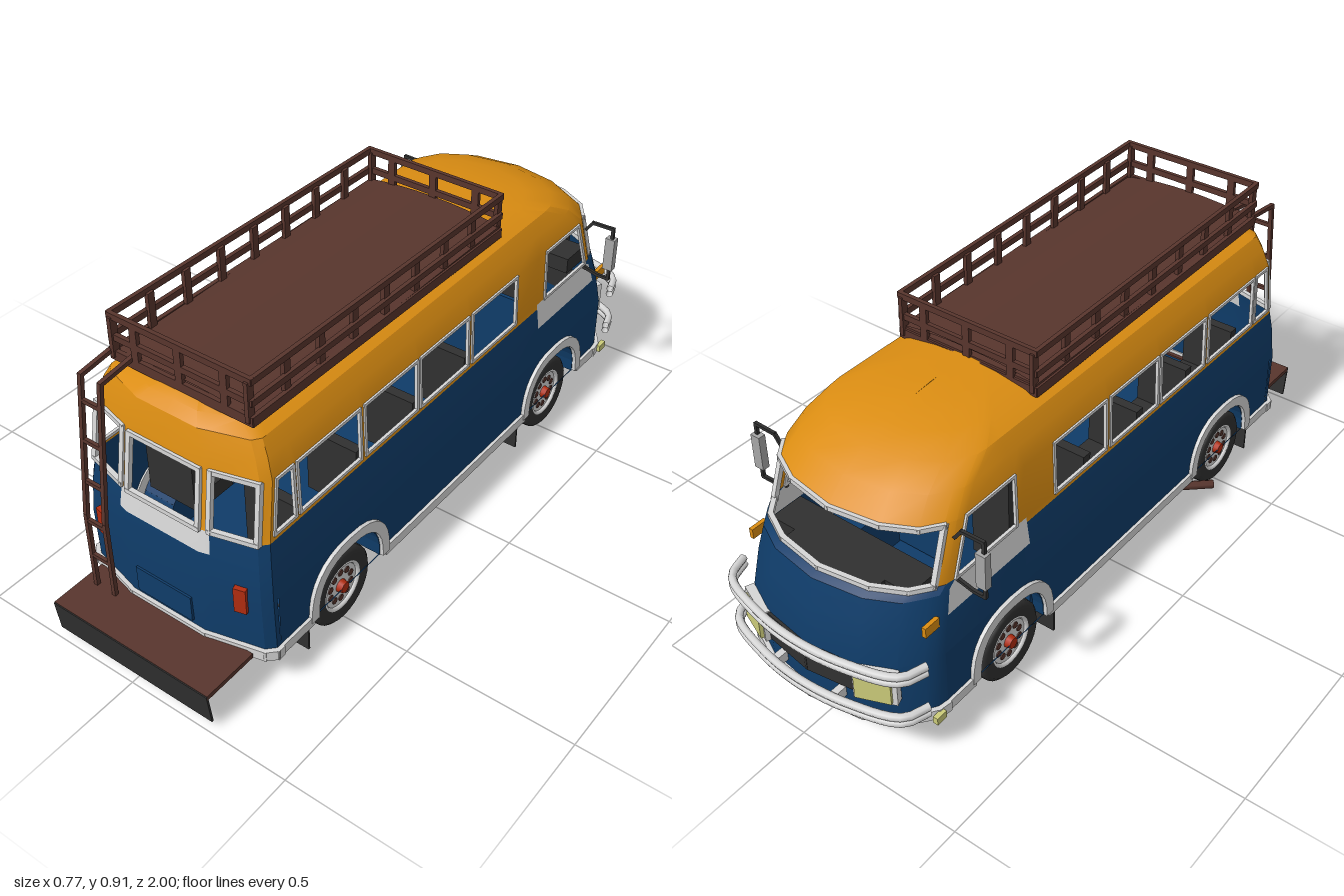
import * as THREE from 'three';
import { mergeGeometries, toCreasedNormals } from 'three/addons/utils/BufferGeometryUtils.js';

const mat = (name, color, side = THREE.FrontSide) => {
  const m = new THREE.MeshStandardMaterial({ color, side });
  m.name = name;
  return m;
};
const V = (x, y, z) => new THREE.Vector3(x, y, z);

// Body sections by height: [y, half width, rear z, nose z]
const ROWS = [
  [0.12, 0.305, 0.845, -0.955], [0.30, 0.305, 0.85, -0.955], [0.405, 0.297, 0.842, -0.93],
  [0.47, 0.288, 0.832, -0.91], [0.485, 0.286, 0.828, -0.885], [0.645, 0.281, 0.805, -0.83],
  [0.70, 0.262, 0.795, -0.775], [0.74, 0.24, 0.785, -0.70], [0.765, 0.19, 0.76, -0.62],
  [0.78, 0.1, 0.71, -0.52], [0.786, 0, 0.66, -0.45],
];
// Columns from rear centre to nose centre: [width share, reference, z or offset]
const COLS = [
  [0, 'r', 0], [0.4, 'r', 0], [0.5, 'r', 0.008], [0.93, 'r', 0.04], [1, 'r', 0.062], [1, 'r', 0.076],
  ...[0.67, 0.655, 0.41, 0.39, 0.165, 0.15, -0.075, -0.095, -0.32, -0.44, -0.48].map(z => [1, 's', z]),
  [1, 'f', 0.17], [0.985, 'f', 0.14], [0.93, 'f', 0.115], [0.8, 'f', 0.065], [0.5, 'f', 0.022], [0, 'f', 0],
];
const DOOR = 16, PILLAR = 17, SCREEN = 19, LAST = COLS.length - 1;

function bodyPoint(col, y, s = 1, out = 0) {
  let k = 0;
  while (k < ROWS.length - 2 && y > ROWS[k + 1][0]) k++;
  const a = ROWS[k], b = ROWS[k + 1], t = (y - a[0]) / (b[0] - a[0]);
  const [w, zr, zf] = [1, 2, 3].map(i => a[i] + (b[i] - a[i]) * t);
  const [u, ref, v] = COLS[col];
  const z = ref === 'r' ? zr + out - v : ref === 'f' ? zf - out + v
    : Math.min(Math.max(v, zf + 0.175), zr - 0.078);
  return V(s * u * (w + out), y, z);
}

// Which colour a body cell has; null leaves an opening
function cellColour(r, c) {
  if (r === 0 && c >= 5 && c < PILLAR) return null;          // arched side panel goes here
  const rearGlass = c === 0 || c === 2;
  const sideGlass = (c >= 5 && c < 14 && c % 2 === 1) || c === DOOR;
  if (r === 4 && (rearGlass || sideGlass || c >= SCREEN)) return null;
  if (r === 3 && rearGlass) return null;
  if (r === 2 && c < 2) return 'white';
  if ((r === 2 || r === 3) && (c === 15 || c === DOOR)) return 'white';
  if (r < 3 || (r === 3 && c >= PILLAR)) return 'blue';
  return 'orange';
}

function bodyShell(colour) {
  const p = [];
  for (const s of [1, -1]) for (let r = 0; r < ROWS.length - 1; r++) for (let c = 0; c < LAST; c++) {
    if (cellColour(r, c) !== colour) continue;
    const y0 = ROWS[r][0], y1 = ROWS[r + 1][0];
    const q = [bodyPoint(c, y0, s), bodyPoint(c + 1, y0, s), bodyPoint(c + 1, y1, s), bodyPoint(c, y1, s)];
    if (s < 0) q.reverse();
    for (const i of [0, 1, 2, 0, 2, 3]) p.push(...q[i].toArray());
  }
  const g = new THREE.BufferGeometry();
  g.setAttribute('position', new THREE.Float32BufferAttribute(p, 3));
  return toCreasedNormals(g, 0.5);
}

// Box-section bar between two points
function bar(a, b, w, h = w) {
  const d = b.clone().sub(a), len = d.length();
  const up = Math.abs(d.y / len) > 0.95 ? V(0, 0, 1) : V(0, 1, 0);
  const m = new THREE.Matrix4().lookAt(b, a, up).setPosition(a.clone().add(b).multiplyScalar(0.5));
  return new THREE.BoxGeometry(w, h, len + Math.min(w, h) * 0.7).applyMatrix4(m);
}
const path = (pts, w, h) => pts.slice(1).map((p, i) => bar(pts[i], p, w, h));
const box = (w, h, d, x, y, z) => new THREE.BoxGeometry(w, h, d).translate(x, y, z);

export function createModel() {
  const M = {
    blue: mat('body blue', 0x0f3c69, THREE.DoubleSide), orange: mat('roof orange', 0xdb8d12, THREE.DoubleSide),
    white: mat('trim white', 0xd6d6d6, THREE.DoubleSide), brown: mat('rack brown', 0x58352d),
    dark: mat('dark rubber', 0x303030), grey: mat('mirror grey', 0xa6a6a6),
    red: mat('lamp red', 0xb02c10), yellow: mat('headlamp yellow', 0xcccc7a),
  };
  const root = new THREE.Group();
  root.name = 'camperBus';
  const add = (name, m, ...geos) => {
    const list = geos.flat().map(g => (g.index ? g.toNonIndexed() : g));
    const mesh = new THREE.Mesh(list.length > 1 ? mergeGeometries(list) : list[0], m);
    mesh.name = name;
    root.add(mesh);
  };

  add('lowerBody', M.blue, bodyShell('blue'));
  add('upperBodyAndRoof', M.orange, bodyShell('orange'));
  add('paintedPatches', M.white, bodyShell('white'));

  // Wheel arches, side panels and skirt trim
  const AXLES = [0.49, -0.53];
  const arch = (c, a, h) => Array.from({ length: 17 }, (_, i) => {
    const t = i / 16 * Math.PI, co = Math.cos(t);
    return [c + a * Math.sign(co) * Math.abs(co) ** 0.8, 0.12 + h * Math.sin(t) ** 0.8];
  });
  const rearEnd = bodyPoint(5, 0.12).z, frontEnd = bodyPoint(PILLAR, 0.12).z;
  const panels = [], wells = [], trim = [];
  for (const s of [1, -1]) {
    const place = (pts, x, depth) => {
      const shape = new THREE.Shape(pts.map(([z, y]) => new THREE.Vector2(-s * z, y)));
      const g = depth ? new THREE.ExtrudeGeometry(shape, { depth, bevelEnabled: false }) : new THREE.ShapeGeometry(shape);
      return g.rotateY(s * Math.PI / 2).translate(s * x, 0, 0);
    };
    panels.push(place([[rearEnd, 0.3], [rearEnd, 0.12], ...AXLES.flatMap(c => arch(c, 0.14, 0.145)),
      [frontEnd, 0.12], [frontEnd, 0.3]], 0.305));
    for (const c of AXLES) {
      const inner = arch(c, 0.138, 0.145);
      trim.push(place([...arch(c, 0.168, 0.175), ...inner.slice().reverse()], 0.3, 0.016));
      wells.push(path(inner.map(([z, y]) => V(s * 0.25, y, z)), 0.11, 0.004), place(inner, 0.195, 0.004));
    }
    const runs = [[rearEnd, 0.65], [0.33, -0.37], [-0.69, frontEnd]];
    for (const [a, b] of runs) trim.push(bar(V(s * 0.306, 0.123, a), V(s * 0.306, 0.123, b), 0.016, 0.03));
    const ends = [[0, 1, 2, 3, 4, 5], [17, 18, 19, 20, 21, 22]];
    for (const e of ends) trim.push(path(e.map(c => bodyPoint(c, 0.123, s, 0.004)), 0.016, 0.03));
  }
  add('sidePanels', M.blue, panels);
  add('wheelWells', M.blue, wells.flat());
  add('skirtTrim', M.white, trim.flat());

  // Floor with wheel openings
  const ring = [1, -1].flatMap(s => {
    const h = COLS.map((_, c) => bodyPoint(c, 0.121, s));
    return s > 0 ? h : h.reverse();
  });
  const floor = new THREE.Shape(ring.map(p => new THREE.Vector2(p.x, -p.z)));
  for (const c of AXLES) for (const s of [1, -1]) {
    const hole = [[0.195, -0.138], [0.302, -0.138], [0.302, 0.138], [0.195, 0.138]];
    floor.holes.push(new THREE.Path(hole.map(([x, z]) => new THREE.Vector2(s * x, -(c + z)))));
  }
  add('floor', M.blue, new THREE.ShapeGeometry(floor).rotateX(-Math.PI / 2).translate(0, 0.121, 0));

  // Window frames
  const frames = [];
  for (const s of [1, -1]) {
    const loop = (c0, c1, y0, y1, w, open) => {
      const cs = Array.from({ length: c1 - c0 + 1 }, (_, i) => c0 + i);
      const pts = [...cs.map(c => bodyPoint(c, y0, s)), ...cs.reverse().map(c => bodyPoint(c, y1, s))];
      if (open === 'end') pts.push(...pts.splice(0, c1 - c0 + 1));
      if (!open) pts.push(pts[0]);
      frames.push(path(pts, w, w));
    };
    loop(0, 1, 0.472, 0.64, 0.014, 'start');
    loop(2, 3, 0.472, 0.64, 0.014);
    for (const c of [5, 7, 9, 11, 13, DOOR]) loop(c, c + 1, 0.487, 0.643, 0.009);
    loop(SCREEN, LAST, 0.488, 0.64, 0.014, 'end');
  }
  add('windowFrames', M.white, frames.flat());

  // Wheels
  const tyre = [[0.074, -0.036], [0.105, -0.04], [0.116, -0.03], [0.118, 0], [0.116, 0.03], [0.105, 0.04], [0.074, 0.036]];
  const spin = (g, s, x, c) => g.rotateZ(-s * Math.PI / 2).translate(s * x, 0.118, c);
  const tyres = [], rims = [], studs = [], hubs = [];
  for (const s of [1, -1]) for (const c of [0.505, -0.522]) {
    tyres.push(spin(new THREE.LatheGeometry(tyre.map(([r, h]) => new THREE.Vector2(r, h)), 28), s, 0.26, c));
    rims.push(spin(new THREE.CylinderGeometry(0.076, 0.076, 0.056, 24), s, 0.26, c));
    rims.push(spin(new THREE.TorusGeometry(0.072, 0.007, 6, 24).rotateX(Math.PI / 2), s, 0.29, c));
    hubs.push(spin(new THREE.CylinderGeometry(0.016, 0.02, 0.02, 12), s, 0.295, c));
    for (let i = 0; i < 10; i++) {
      const t = i / 10 * Math.PI * 2;
      studs.push(spin(new THREE.CylinderGeometry(0.01, 0.01, 0.006, 8)
        .translate(0.045 * Math.cos(t), 0, 0.045 * Math.sin(t)), s, 0.288, c));
    }
  }
  add('tyres', M.dark, tyres);
  add('rims', M.white, rims);
  add('rimHoles', M.brown, studs);
  add('hubCaps', M.red, hubs);

  // Nose: bumper tubes, grille, lamps
  const bumperCurve = y => new THREE.CatmullRomCurve3([[-0.312, -0.86], [-0.285, -0.925], [-0.15, -0.972], [0, -0.988],
    [0.15, -0.972], [0.285, -0.925], [0.312, -0.86]].map(([x, z]) => V(x, y, z)));
  add('frontBumpers', M.white, [0.325, 0.305, 0.185, 0.165].map(y => new THREE.TubeGeometry(bumperCurve(y), 28, 0.011, 8)),
    [-0.1, 0.1].map(x => box(0.02, 0.03, 0.05, x, 0.175, -0.955)));
  add('grille', M.dark, [1, -1].flatMap(s => path([21, 22].map(c => bodyPoint(c, 0.245, s, 0.002)), 0.012, 0.09)));
  const lamp = (s, w, h, d, z) => new THREE.BoxGeometry(w, h, d).rotateY(-s * 0.38).translate(s * 0.2, 0.245, z);
  add('headlampFrames', M.white, [1, -1].map(s => lamp(s, 0.115, 0.098, 0.025, -0.922)));
  add('headlamps', M.yellow, [1, -1].map(s => lamp(s, 0.095, 0.078, 0.03, -0.93)),
    [1, -1].map(s => box(0.015, 0.022, 0.035, s * 0.316, 0.123, -0.83)));
  add('indicators', M.orange, [1, -1].map(s => box(0.012, 0.03, 0.05, s * 0.29, 0.405, -0.815)));

  // Tail: lamps, plate panel, step and hanging flap
  add('tailLamps', M.red, [1, -1].map(s => new THREE.BoxGeometry(0.034, 0.078, 0.02).rotateY(s * 0.26).translate(s * 0.232, 0.297, 0.823)));
  add('platePanel', M.blue, box(0.185, 0.08, 0.008, -0.005, 0.195, 0.85));
  add('rearStep', M.brown, box(0.524, 0.014, 0.17, 0, 0.12, 0.913));
  add('rearFlap', M.dark, new THREE.BoxGeometry(0.524, 0.1, 0.006).rotateX(0.12).translate(0, 0.076, 0.992));
  add('mudFlaps', M.dark, [0.66, -0.345].flatMap(z => [1, -1].map(s => box(0.11, 0.1, 0.006, s * 0.25, 0.073, z))));

  // Ladder
  const ladder = [];
  const rail = y => (y > 0.37 ? 0.885 - (y - 0.37) * 0.11 : 0.885);
  for (const x of [-0.22, -0.155]) {
    ladder.push(path([V(x, 0.125, 0.885), V(x, 0.37, 0.885), V(x, 0.785, rail(0.785)), V(x, 0.798, 0.73)], 0.012, 0.012));
  }
  for (const y of [0.235, 0.355, 0.478, 0.6, 0.715]) ladder.push(path([V(-0.22, y, rail(y)), V(-0.155, y, rail(y))], 0.01, 0.012));
  add('ladder', M.brown, ladder.flat());

  // Roof rack: arched floor, rails sloping to the nose, posts
  const X = 0.22, ZR = 0.73, ZF = -0.31;
  const arched = new THREE.PlaneGeometry(2 * X, ZR - ZF, 8, 1).rotateX(-Math.PI / 2).translate(0, 0, (ZR + ZF) / 2);
  const pos = arched.attributes.position;
  for (let i = 0; i < pos.count; i++) pos.setY(i, 0.808 - 0.35 * pos.getX(i) ** 2);
  arched.computeVertexNormals();
  const rack = [arched, box(2 * X, 0.016, ZR - ZF, 0, 0.782, (ZR + ZF) / 2)];
  const slope = z => (z - ZR) * 0.014;
  for (const [y, h] of [[0.898, 0.018], [0.838, 0.018], [0.784, 0.028]]) {
    const c = [[-X, ZR], [X, ZR], [X, ZF], [-X, ZF], [-X, ZR]].map(([x, z]) => V(x, y + slope(z), z));
    rack.push(...path(c, 0.012, h));
  }
  for (const s of [1, -1]) for (let i = 0; i <= 8; i++) {
    const z = ZR + (ZF - ZR) * i / 8;
    rack.push(box(0.012, 0.115, 0.022, s * (X - 0.008), 0.838 + slope(z), z));
  }
  for (const z of [ZR, ZF]) for (const x of [-0.14, 0, 0.14]) rack.push(box(0.022, 0.115, 0.012, x, 0.838 + slope(z), z));
  add('roofRack', M.brown, rack);

  // Mirrors
  const arms = [], mirrors = [];
  for (const s of [1, -1]) {
    const p = [[0.285, 0.61], [0.305, 0.638], [0.372, 0.64], [0.372, 0.468], [0.335, 0.468], [0.285, 0.48]];
    arms.push(path(p.map(([x, y]) => V(s * x, y, -0.708)), 0.009, 0.009));
    mirrors.push(box(0.03, 0.105, 0.022, s * 0.369, 0.555, -0.71));
  }
  add('mirrorArms', M.dark, arms.flat());
  add('mirrors', M.grey, mirrors);

  // Cabin: dashboard, seats, barred partition
  add('dashboard', M.dark, box(0.46, 0.05, 0.1, 0, 0.452, -0.765), box(0.3, 0.05, 0.07, 0, 0.452, -0.835));
  const seats = [0.55, 0.3, 0.05, -0.2].flatMap(z => [1, -1].flatMap(s =>
    [box(0.16, 0.05, 0.13, s * 0.17, 0.28, z), box(0.16, 0.2, 0.03, s * 0.17, 0.37, z + 0.07)]));
  add('seats', M.dark, seats, [1, -1].map(s => box(0.12, 0.32, 0.03, s * 0.19, 0.47, -0.45)));
  add('partition', M.blue, box(0.54, 0.38, 0.012, 0, 0.315, -0.4),
    [-0.105, -0.055, -0.005, 0.045, 0.095].map(x => box(0.026, 0.2, 0.012, x, 0.6, -0.4)));

  // Exhaust
  const pipe = new THREE.CatmullRomCurve3([V(-0.08, 0.105, -0.05), V(-0.1, 0.1, 0.12), V(-0.2, 0.095, 0.22), V(-0.355, 0.082, 0.385)]);
  add('exhaust', M.brown, box(0.12, 0.02, 0.15, -0.08, 0.108, -0.1), new THREE.TubeGeometry(pipe, 16, 0.014, 6));
  return root;
}
